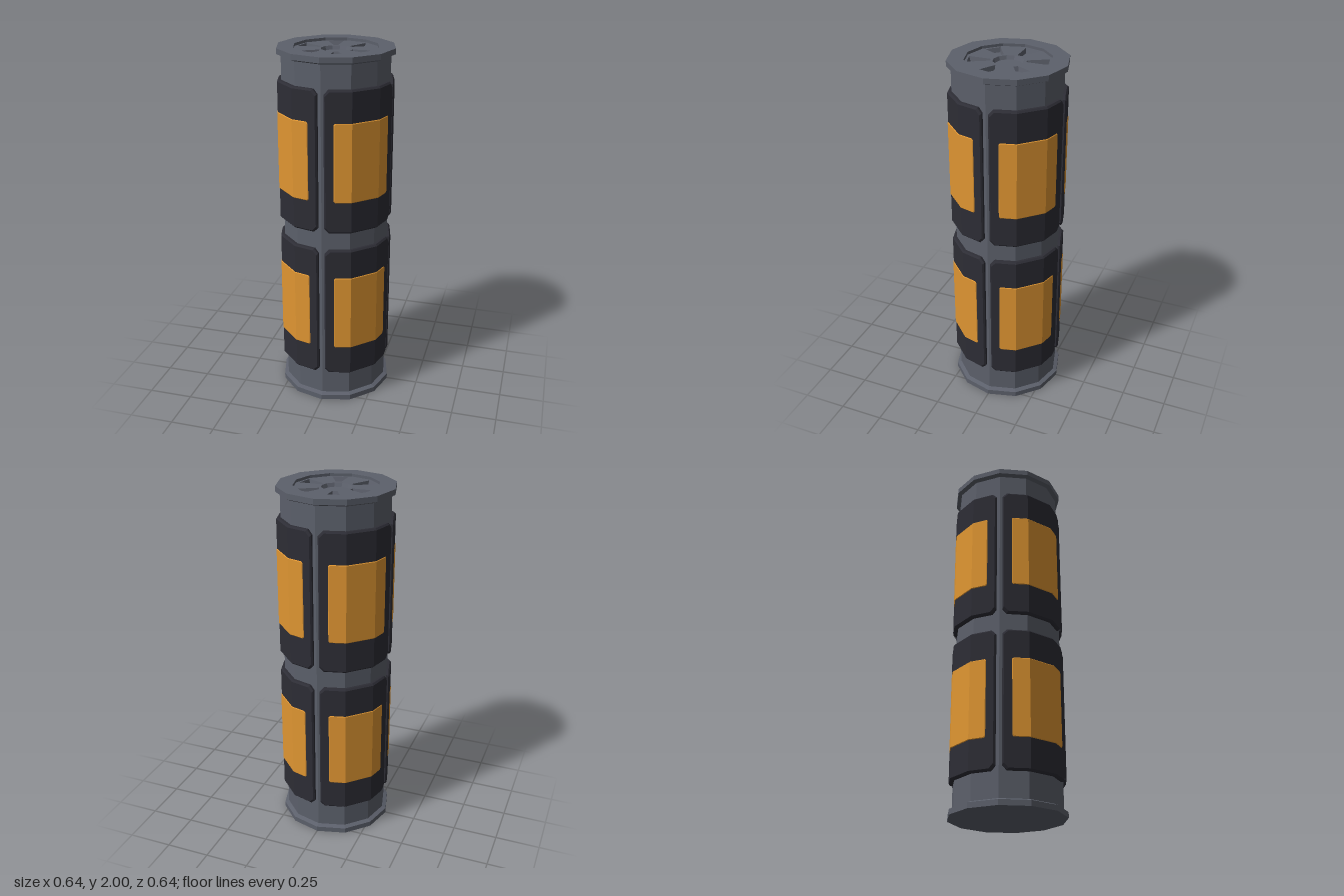
import * as THREE from 'three';

const SIDES = 12;
const rad = THREE.MathUtils.degToRad;

// Point on a regular 12-sided prism of corner radius r, at angle deg and height y
function prismPoint(r, deg, y) {
  const d = r * Math.cos(rad(15)) / Math.cos(rad((deg % 30) - 15));
  return new THREE.Vector3(d * Math.cos(rad(deg)), y, d * Math.sin(rad(deg)));
}

// Joins counter-clockwise loops with walls and closes the last one with a strip of quads
function loftLoops(loops) {
  const pos = [];
  const quad = (a, b, c, d) => [a, b, c, a, c, d].forEach(p => pos.push(p.x, p.y, p.z));
  const n = loops[0].length;
  for (let l = 0; l + 1 < loops.length; l++) {
    for (let i = 0; i < n; i++) {
      const j = (i + 1) % n;
      quad(loops[l][i], loops[l][j], loops[l + 1][j], loops[l + 1][i]);
    }
  }
  const cap = loops[loops.length - 1];
  for (let i = 0; i < n / 2 - 1; i++) quad(cap[i], cap[i + 1], cap[n - 2 - i], cap[n - 1 - i]);
  const geo = new THREE.BufferGeometry();
  geo.setAttribute('position', new THREE.Float32BufferAttribute(pos, 3));
  geo.computeVertexNormals();
  return geo;
}

// Outline of a quarter-turn plate wrapped on the prism, with cut corners
function plateLoop(r, a0, y0, y1, cut, inset) {
  const di = inset / 0.32 * 180 / Math.PI;
  const dc = cut / 0.32 * 180 / Math.PI;
  const a = a0 + di, lo = y0 + inset, hi = y1 - inset;
  const cols = [[a, cut], [a + dc, 0], [30, 0], [60, 0], [90 - a - dc, 0], [90 - a, cut]];
  const top = cols.map(([deg, c]) => prismPoint(r, deg, hi - c));
  const bottom = cols.map(([deg, c]) => prismPoint(r, deg, lo + c)).reverse();
  return [...top, ...bottom];
}

export function createModel() {
  const metal = new THREE.MeshStandardMaterial({ color: 0x5c606b });
  metal.name = 'grey metal';
  const dark = new THREE.MeshStandardMaterial({ color: 0x2d2d35 });
  dark.name = 'dark casing';
  const amber = new THREE.MeshStandardMaterial({ color: 0xe09632 });
  amber.name = 'amber glass';

  const model = new THREE.Group();
  model.name = 'canister';
  const add = (name, geo, mat, parent = model) => {
    const mesh = new THREE.Mesh(geo, mat);
    mesh.name = name;
    parent.add(mesh);
    return mesh;
  };

  // Faceted body with a flange at each end and a sunken top
  const profile = [
    [0, 0], [0.32, 0], [0.32, 0.03], [0.297, 0.04],
    [0.297, 1.96], [0.32, 1.97], [0.32, 2], [0.23, 2], [0.23, 1.985],
  ].map(([x, y]) => new THREE.Vector2(x, y));
  const body = new THREE.LatheGeometry(profile, SIDES).toNonIndexed();
  body.computeVertexNormals();
  add('body', body, metal);

  // Curved casing panels and their raised windows, four around in two tiers
  const tiers = [
    { panel: [0.18, 0.955], pane: [0.35, 0.79] },
    { panel: [1.055, 1.835], pane: [1.23, 1.665] },
  ];
  for (const { panel: [p0, p1], pane: [w0, w1] } of tiers) {
    const casingGeo = loftLoops([
      plateLoop(0.29, 3.3, p0, p1, 0.025, 0),
      plateLoop(0.311, 3.3, p0, p1, 0.025, 0),
      plateLoop(0.32, 3.3, p0, p1, 0.025, 0.009),
    ]);
    const paneGeo = loftLoops([
      plateLoop(0.319, 12.8, w0, w1, 0.008, 0),
      plateLoop(0.323, 12.8, w0, w1, 0.008, 0.005),
    ]);
    for (let q = 0; q < 4; q++) {
      const group = new THREE.Group();
      group.name = 'sidePanel';
      group.rotation.y = q * Math.PI / 2;
      add('casing', casingGeo, dark, group);
      add('window', paneGeo, amber, group);
      model.add(group);
    }
  }

  // Vented end plate: a disc pierced by six wedges and a hub
  const topY = 1.985;
  const ring = (r, y) => Array.from({ length: SIDES }, (_, i) =>
    new THREE.Vector3(r * Math.cos(rad(i * 30)), y, -r * Math.sin(rad(i * 30))));
  const flat = loop => loop.map(p => new THREE.Vector2(p.x, -p.z));
  const wedge = [[0.213, 0.011], [0.094, 0.011], [0.087, 0.036], [0.193, 0.095]]
    .map(([x, z]) => new THREE.Vector3(x, topY, z));
  const centre = new THREE.Vector3(0.15, topY, 0.04);
  const wedgeFloor = wedge.map(p => p.clone().lerp(centre, 0.14).setY(topY - 0.025));

  const disc = new THREE.Shape(flat(ring(0.23, topY)));
  disc.holes.push(new THREE.Path(flat(ring(0.082, topY))));
  const wedgeGeo = loftLoops([wedge, wedgeFloor]);
  for (let i = 0; i < 6; i++) {
    const turn = i * Math.PI / 3;
    const up = new THREE.Vector3(0, 1, 0);
    disc.holes.push(new THREE.Path(flat(wedge.map(p => p.clone().applyAxisAngle(up, turn)))));
    add('ventRecess', wedgeGeo, metal).rotation.y = turn;
  }
  const plate = new THREE.ShapeGeometry(disc).rotateX(-Math.PI / 2).translate(0, topY, 0);
  add('endPlate', plate, metal);
  add('hubRecess', loftLoops([ring(0.082, topY), ring(0.073, topY - 0.02)]), metal);

  return model;
}
